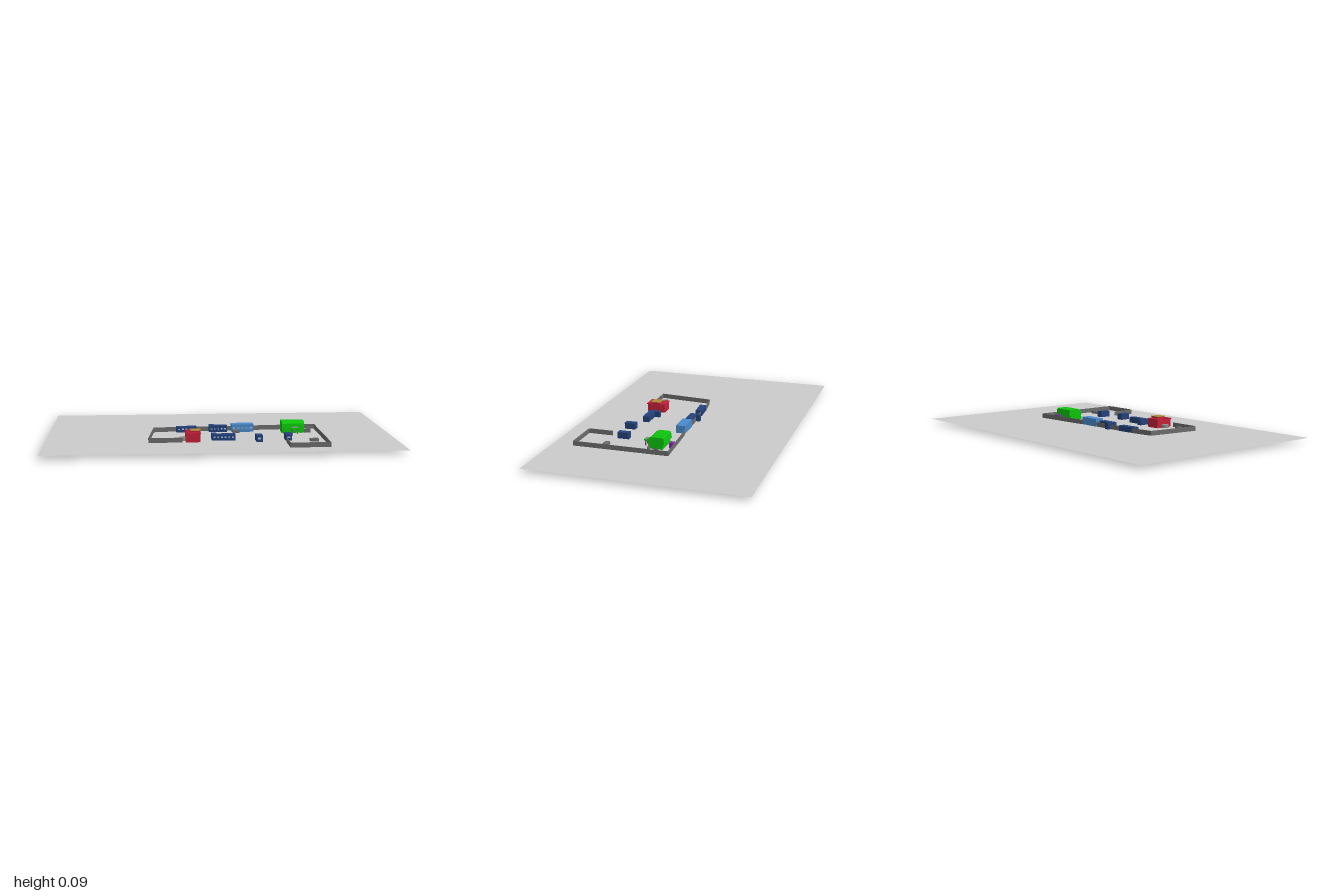
import * as THREE from 'three';

const BASE = 0.02;
const mats = {};
const mat = (color) => (mats[color] ??= new THREE.MeshStandardMaterial({ color, side: THREE.DoubleSide, flatShading: true }));
const GREY = 0x6c6c6c, NAVY = 0x24427a, BLUE = 0x4a8bcc, GREEN = 0x0cc40c, RED = 0xc42038;
const PURPLE = 0x8a22b8, TAN = 0xb08a3c, PANE = 0x9cc4ea;

export function createModel() {
  const root = new THREE.Group();

  const group = (name) => {
    const g = new THREE.Group();
    g.name = name;
    root.add(g);
    return g;
  };
  // Box given by its limits on each axis
  const block = (parent, name, color, x0, x1, z0, z1, y1, y0 = BASE) => {
    const m = new THREE.Mesh(new THREE.BoxGeometry(x1 - x0, y1 - y0, z1 - z0), mat(color));
    m.position.set((x0 + x1) / 2, (y0 + y1) / 2, (z0 + z1) / 2);
    m.name = name;
    parent.add(m);
    return m;
  };
  // Row of small windows on a front wall
  const windows = (parent, x0, x1, z, y, count) => {
    const step = (x1 - x0) / count;
    for (let i = 0; i < count; i++) {
      const x = x0 + step * (i + 0.5);
      block(parent, 'window', PANE, x - step * 0.25, x + step * 0.25, z - 0.001, z + 0.001, y + 0.004, y - 0.004);
    }
  };

  // Ground sheet
  const ground = new THREE.Mesh(new THREE.PlaneGeometry(2, 1.25),
    new THREE.MeshStandardMaterial({ color: 0xcccccc, side: THREE.DoubleSide }));
  ground.rotation.x = -Math.PI / 2;
  ground.position.y = 0.0215;
  ground.name = 'ground';
  root.add(ground);

  // Perimeter wall, as thin upright panels along a path of [x, z] points
  const walls = group('perimeterWall');
  const path = [[-0.225, 0.32], [-0.415, 0.32], [-0.383, 0], [-0.25, -0.018], [0.2, -0.026],
    [0.25, -0.036], [0.587, -0.055], [0.587, 0.503], [0.363, 0.503], [0.363, 0.357]];
  const addWall = ([ax, az], [bx, bz], top) => {
    const len = Math.hypot(bx - ax, bz - az);
    const m = new THREE.Mesh(new THREE.BoxGeometry(len, top - BASE, 0.003), mat(GREY));
    m.position.set((ax + bx) / 2, (top + BASE) / 2, (az + bz) / 2);
    m.rotation.y = -Math.atan2(bz - az, bx - ax);
    m.name = 'wallPanel';
    walls.add(m);
  };
  for (let i = 0; i + 1 < path.length; i++) addWall(path[i], path[i + 1], 0.049);
  addWall([0.505, 0.08], [0.545, 0.08], 0.045);

  // Back row: slanted hall, L-shaped hall and light blue hall
  const hallA = group('slantedHall');
  block(hallA, 'body', NAVY, -0.06, 0.06, -0.02, 0.02, 0.054);
  windows(hallA, -0.055, 0.055, 0.02, 0.04, 5);
  hallA.position.set(-0.19, 0, -0.003);
  hallA.rotation.y = 0.07;

  const hallB = group('backLHall');
  block(hallB, 'body', NAVY, -0.055, 0.052, -0.022, 0.02, 0.06);
  block(hallB, 'wing', NAVY, -0.055, -0.026, -0.045, -0.022, 0.06);
  windows(hallB, -0.05, 0.05, 0.02, 0.04, 5);

  const hallC = group('blueHall');
  block(hallC, 'body', BLUE, 0.078, 0.21, -0.03, 0.026, 0.067);
  windows(hallC, 0.082, 0.206, 0.026, 0.045, 5);

  // Front row: L-shaped hall and two small houses
  const hallD = group('frontLHall');
  block(hallD, 'body', NAVY, -0.055, 0.08, 0.24, 0.278, 0.056);
  block(hallD, 'wing', NAVY, -0.055, -0.027, 0.21, 0.24, 0.056);
  windows(hallD, -0.05, 0.075, 0.278, 0.04, 6);
  [[0.193, 0.23, 0.27, 0.335], [0.363, 0.4, 0.245, 0.313]].forEach(([x0, x1, z0, z1]) => {
    const house = group('smallHouse');
    block(house, 'body', NAVY, x0, x1, z0, z1, 0.058);
    block(house, 'window', PANE, x0 + 0.01, x1 - 0.01, z1 - 0.001, z1 + 0.001, 0.046, 0.036);
  });

  // Red stepped house
  const red = group('redHouse');
  block(red, 'lowerBlock', RED, -0.205, -0.12, 0.235, 0.295, 0.066);
  [0.21, 0.28].forEach((z) => block(red, 'wing', RED, -0.205, -0.122, z, z + 0.04, 0.068));
  block(red, 'upperBlock', RED, -0.175, -0.122, 0.24, 0.295, 0.082);
  block(red, 'roofCap', TAN, -0.177, -0.12, 0.238, 0.297, 0.086, 0.082);
  [0.208, 0.298].forEach((z) => block(red, 'wingRoof', RED, -0.207, -0.12, z, z + 0.025, 0.074, 0.068));
  const yard = new THREE.Mesh(new THREE.CylinderGeometry(0.022, 0.022, 0.022, 16), mat(0x909090));
  yard.position.set(-0.217, BASE + 0.011, 0.262);
  yard.name = 'roundAnnex';
  root.add(yard);

  // Green house: profile across z, stretched along x
  const green = group('greenHouse');
  const side = new THREE.Shape([[0.005, 0.02], [0.005, 0.048], [-0.005, 0.052], [0, 0.086], [0.008, 0.089],
    [0.07, 0.089], [0.086, 0.078], [0.09, 0.05], [0.078, 0.048], [0.078, 0.02]]
    .map(([z, y]) => new THREE.Vector2(-z, y)));
  const bodyGeo = new THREE.ExtrudeGeometry(side, { depth: 0.132, bevelEnabled: false });
  const body = new THREE.Mesh(bodyGeo, mat(GREEN));
  body.rotation.y = Math.PI / 2;
  body.position.x = 0.373;
  body.name = 'body';
  green.add(body);
  [0.38, 0.42, 0.48].forEach((x) => block(green, 'porchPost', GREEN, x, x + 0.008, 0.085, 0.095, 0.052));
  block(green, 'porchRoof', GREEN, 0.424, 0.466, 0.085, 0.127, 0.058, 0.05);
  block(green, 'porchTop', 0x7c8c7c, 0.428, 0.462, 0.089, 0.123, 0.06, 0.057);
  [0.426, 0.458].forEach((x) => block(green, 'porchLeg', GREY, x, x + 0.006, 0.117, 0.124, 0.05));
  const ball = new THREE.Mesh(new THREE.SphereGeometry(0.0145, 16, 12), mat(0x505050));
  ball.position.set(0.507, 0.0145, 0.043);
  ball.name = 'sunkenBall';
  green.add(ball);

  // Purple shed behind the green house
  const shed = group('purpleShed');
  block(shed, 'body', PURPLE, 0.44, 0.472, -0.045, -0.022, 0.054);
  block(shed, 'step', PURPLE, 0.436, 0.452, -0.04, -0.028, 0.048);

  // Small grey huts
  [[-0.338, -0.305, 0.262, 0.291], [0.5, 0.522, 0.317, 0.343], [0.52, 0.548, 0.315, 0.345], [0.083, 0.124, 0.026, 0.055]]
    .forEach(([x0, x1, z0, z1]) => block(root, 'hut', GREY, x0, x1, z0, z1, 0.037));

  return root;
}
